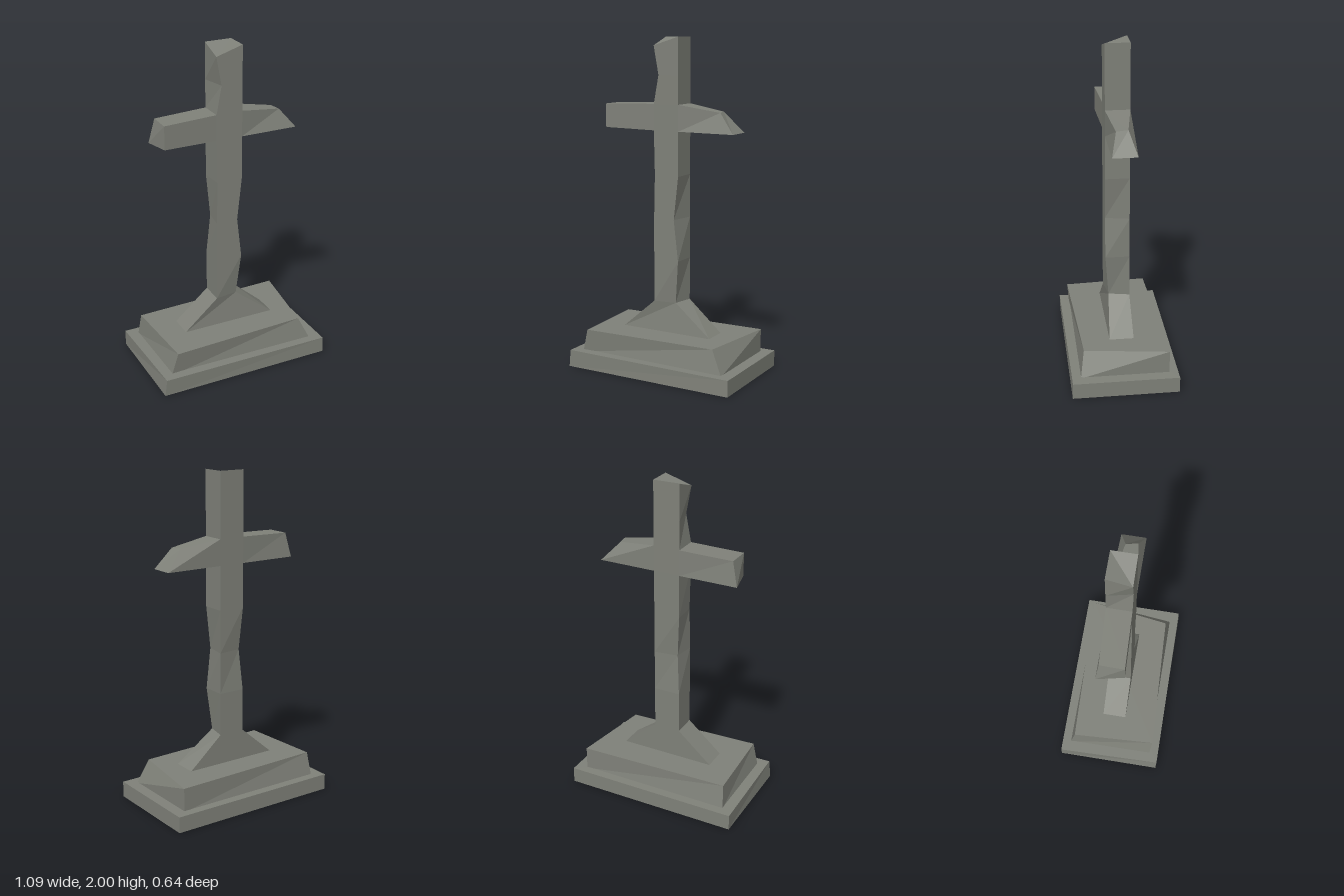
import * as THREE from 'three';

// Flat-shaded solid through four-cornered rings, listed bottom to top.
// Corner order in each ring: back left, front left, front right, back right.
function chippedBlock(name, material, rings) {
  const pos = [];
  const quad = (a, b, c, d) => pos.push(...a, ...b, ...c, ...a, ...c, ...d);
  for (let r = 0; r < rings.length - 1; r++) {
    const lo = rings[r], hi = rings[r + 1];
    for (let i = 0; i < 4; i++) {
      const j = (i + 1) % 4;
      quad(lo[i], lo[j], hi[j], hi[i]);
    }
  }
  const bottom = rings[0], top = rings[rings.length - 1];
  quad(bottom[3], bottom[2], bottom[1], bottom[0]);
  quad(top[1], top[2], top[3], top[0]);
  const geo = new THREE.BufferGeometry();
  geo.setAttribute('position', new THREE.Float32BufferAttribute(pos, 3));
  geo.computeVertexNormals();
  const mesh = new THREE.Mesh(geo, material);
  mesh.name = name;
  return mesh;
}

// Rectangular ring, with optional replacement corners for the chips
function ring(y, x0, x1, z0, z1, chips = {}) {
  const corners = [[x0, y, z0], [x0, y, z1], [x1, y, z1], [x1, y, z0]];
  return corners.map((c, i) => chips[i] || c);
}

export function createModel() {
  const model = new THREE.Group();
  model.name = 'stoneCross';
  const stone = new THREE.MeshStandardMaterial({ color: 0x7f8179 });
  stone.name = 'weathered stone';
  const BL = 0, FL = 1, FR = 2, BR = 3;
  const W = 0.082, ZB = -0.076, ZF = 0.07;

  // Lower plinth step
  model.add(chippedBlock('lowerStep', stone, [
    ring(0, -0.545, 0.542, -0.321, 0.315),
    ring(0.097, -0.545, 0.542, -0.321, 0.312, { [FL]: [-0.533, 0.105, 0.318] }),
  ]));

  // Upper plinth step, worn unevenly at its top corners
  model.add(chippedBlock('upperStep', stone, [
    ring(0.09, -0.477, 0.473, -0.268, 0.26),
    ring(0.236, -0.477, 0.473, -0.268, 0.26, {
      [BL]: [-0.465, 0.236, -0.238], [FL]: [-0.438, 0.236, 0.272], [FR]: [0.402, 0.236, 0.235],
    }),
  ]));

  // Flared foot and upright post, with chipped edges
  const post = (y, chips) => ring(y, -W, W, ZB, ZF, chips);
  model.add(chippedBlock('post', stone, [
    ring(0.236, -0.295, 0.295, ZB, ZF),
    post(0.42, { [FR]: [0.056, 0.42, 0.05] }),
    post(0.68),
    post(0.93, { [FR]: [0.053, 0.93, ZF], [BL]: [-0.064, 0.93, -0.058] }),
    post(1.19, { [FL]: [-0.076, 1.19, ZF] }),
    post(1.455),
    post(1.61),
    post(1.78, { [FL]: [-0.05, 1.78, ZF] }),
    post(2, { [FL]: [-W, 1.95, ZF] }),
  ]));

  // Arm on the -x side, with a skewed end
  model.add(chippedBlock('rightArm', stone, [
    [[-0.442, 1.455, ZB], [-0.41, 1.46, 0.082], [-W, 1.455, ZF], [-W, 1.455, ZB]],
    [[-0.408, 1.602, -0.06], [-0.41, 1.602, 0.082], [-W, 1.611, ZF], [-W, 1.611, ZB]],
  ]));

  // Arm on the +x side, broken to a slope
  model.add(chippedBlock('leftArm', stone, [
    [[W, 1.455, ZB], [W, 1.455, ZF], [0.438, 1.455, ZF], [0.438, 1.455, ZB]],
    [[W, 1.611, ZB], [W, 1.611, ZF], [0.34, 1.573, 0.037], [0.326, 1.575, -0.034]],
  ]));

  return model;
}
